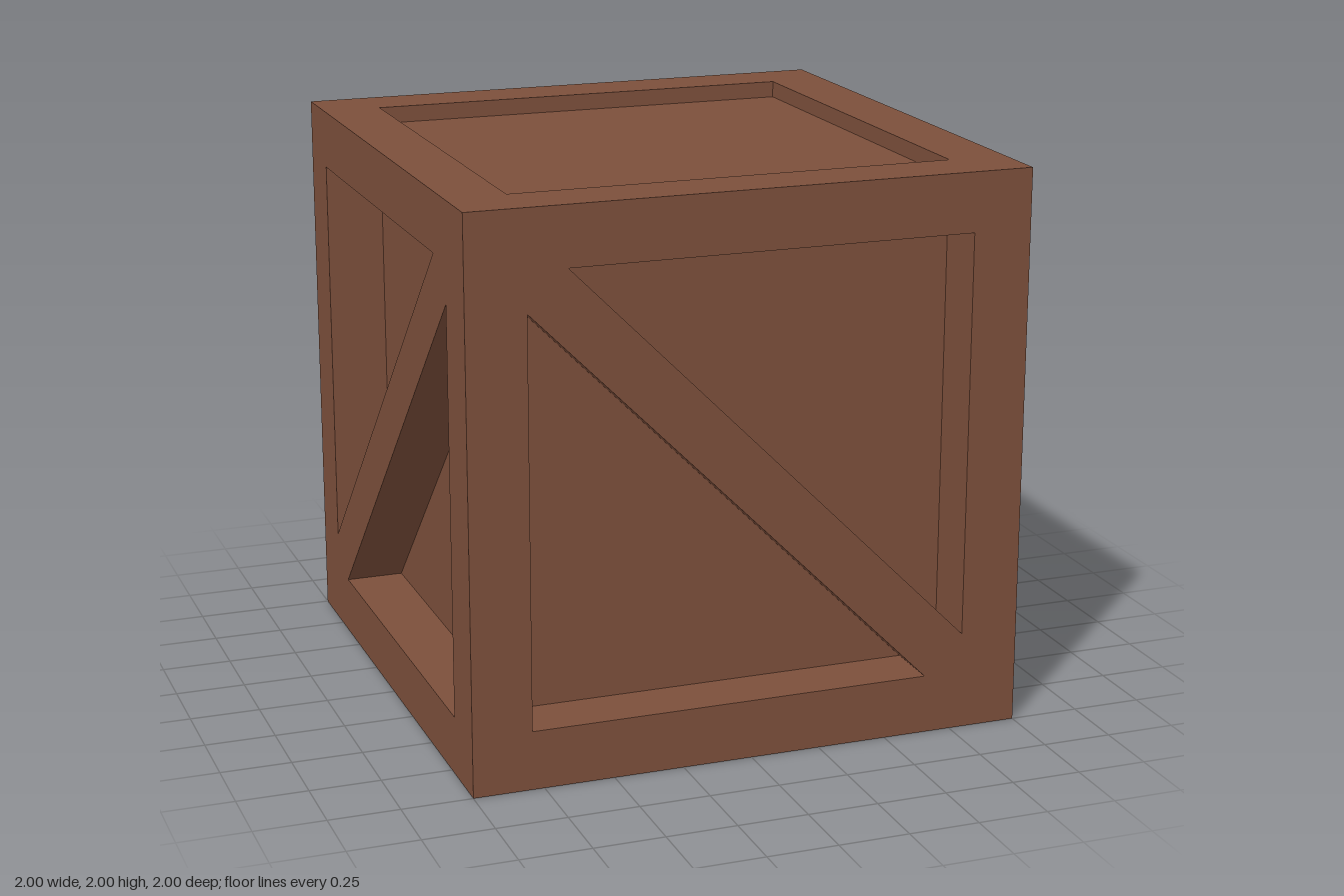
import * as THREE from 'three';

const OPEN = 0.79;        // half width of the openings
const CUT = 0.65;         // where the diagonal brace meets the frame
const SIDE_DEPTH = 0.21;
const LID_DEPTH = 0.06;

const wood = new THREE.MeshStandardMaterial({ color: 0x7c4f3b });
wood.name = 'brown wood';

const points = (list) => list.map(([x, y]) => new THREE.Vector2(x, y));
const square = (r) => points([[-r, -r], [r, -r], [r, r], [-r, r]]);

// The two triangular openings either side of a brace falling to the right
const fallingOpenings = [
  points([[OPEN, -CUT], [OPEN, OPEN], [-CUT, OPEN]]),
  points([[-OPEN, CUT], [-OPEN, -OPEN], [CUT, -OPEN]]),
];

// Mirrored: brace rising to the right
const risingOpenings = fallingOpenings.map((tri) =>
  tri.map((p) => new THREE.Vector2(-p.x, p.y)).reverse());

// Inward-facing walls around an anticlockwise opening
function recessWalls(outline, depth) {
  const pos = [];
  outline.forEach((a, i) => {
    const b = outline[(i + 1) % outline.length];
    pos.push(a.x, a.y, 0, b.x, b.y, 0, b.x, b.y, -depth);
    pos.push(a.x, a.y, 0, b.x, b.y, -depth, a.x, a.y, -depth);
  });
  const geo = new THREE.BufferGeometry();
  geo.setAttribute('position', new THREE.Float32BufferAttribute(pos, 3));
  geo.computeVertexNormals();
  return geo;
}

// One face of the crate: flush frame, recess walls and sunken panels
function crateFace(name, openings, depth) {
  const face = new THREE.Group();
  face.name = name;
  const add = (part, geo, z = 0) => {
    const mesh = new THREE.Mesh(geo, wood);
    mesh.name = part;
    mesh.position.z = z;
    face.add(mesh);
  };
  const frame = new THREE.Shape(square(1));
  frame.holes = openings.map((o) => new THREE.Path(o));
  add('frame', new THREE.ShapeGeometry(frame));
  for (const o of openings) {
    add('recessWalls', recessWalls(o, depth));
    add('panel', new THREE.ShapeGeometry(new THREE.Shape(o)), -depth);
  }
  return face;
}

export function createModel() {
  const crate = new THREE.Group();
  crate.name = 'crate';

  const place = (face, rx, ry) => {
    face.rotation.set(rx, ry, 0);
    face.position.set(0, 0, 1).applyEuler(face.rotation);
    face.position.y += 1;
    crate.add(face);
  };

  // Four braced sides
  ['frontSide', 'leftSide', 'backSide', 'rightSide'].forEach((name, i) => {
    const openings = i % 2 ? risingOpenings : fallingOpenings;
    place(crateFace(name, openings, SIDE_DEPTH), 0, i * Math.PI / 2);
  });

  // Lid and base with shallow square recesses
  place(crateFace('lid', [square(OPEN)], LID_DEPTH), -Math.PI / 2, 0);
  place(crateFace('base', [square(OPEN)], LID_DEPTH), Math.PI / 2, 0);

  return crate;
}
